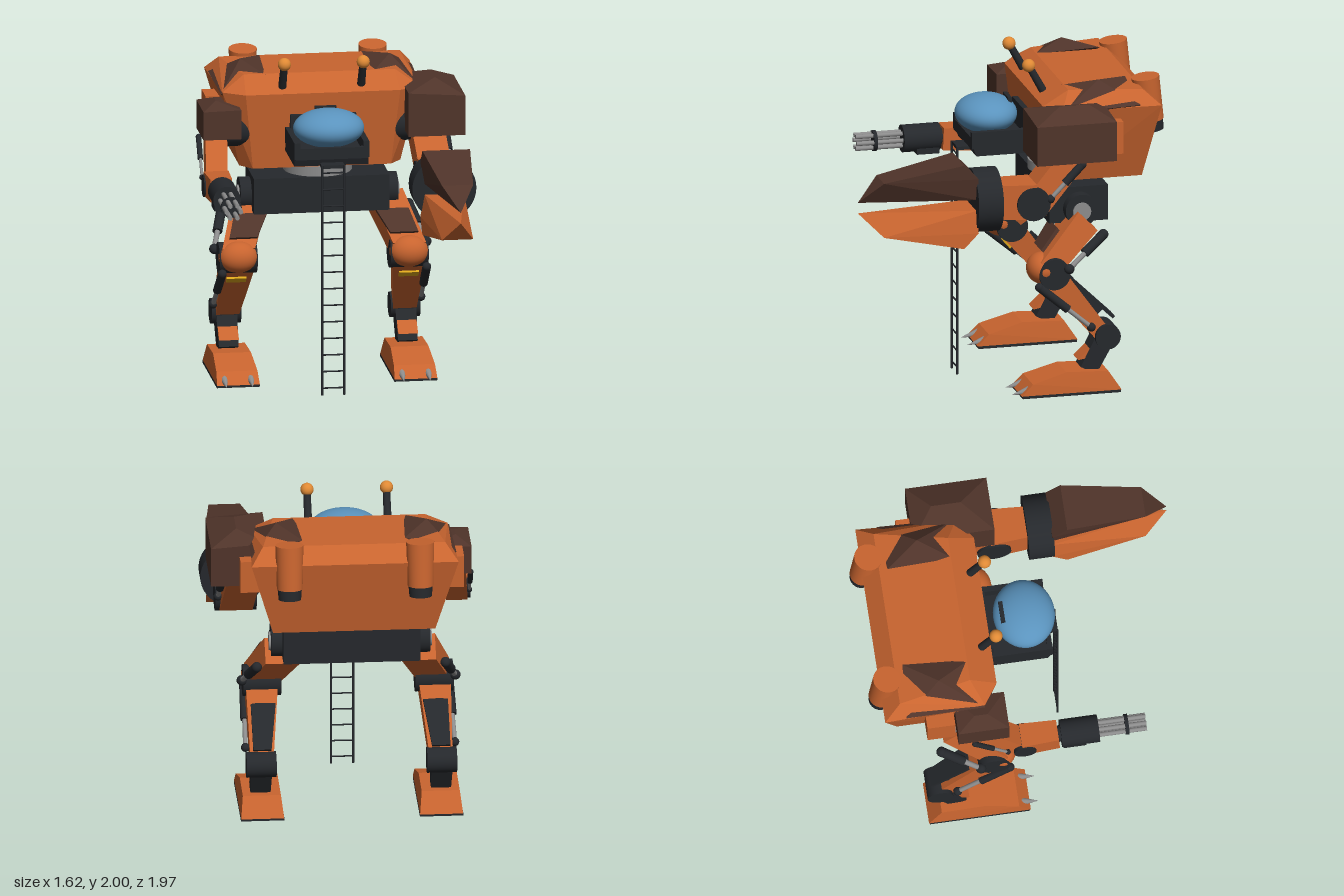
import * as THREE from 'three';
import { ConvexGeometry } from 'three/addons/geometries/ConvexGeometry.js';

const mat = (color) => new THREE.MeshStandardMaterial({ color });
const ORANGE = mat(0xc8642f), BROWN = mat(0x50342a), DARK = mat(0x25282c), STEEL = mat(0x8c8c8c);
const BLUE = mat(0x5a93bd), YELLOW = mat(0xd9a41a), LAMP = mat(0xe08a35);
const CX = -0.057; // centre line of the body
const V = (x, y, z) => new THREE.Vector3(x, y, z);

function add(parent, name, geo, material, x = 0, y = 0, z = 0) {
  const m = new THREE.Mesh(geo, material);
  m.name = name;
  m.position.set(x, y, z);
  parent.add(m);
  return m;
}

const box = (p, name, m, w, h, d, x, y, z) => add(p, name, new THREE.BoxGeometry(w, h, d), m, x, y, z);

// Convex solid around a few corner points
const solid = (p, name, m, pts) => add(p, name, new ConvexGeometry(pts.map((q) => V(...q))), m);

// Round bar from a to b
function rod(p, name, m, a, b, ra, rb = ra, seg = 20) {
  const A = V(...a), B = V(...b), dir = B.clone().sub(A);
  const r = add(p, name, new THREE.CylinderGeometry(rb, ra, dir.length(), seg), m);
  r.position.copy(A).add(B).multiplyScalar(0.5);
  r.quaternion.setFromUnitVectors(V(0, 1, 0), dir.normalize());
  return r;
}

// Tapered box from a to b: w is the width in x, d the thickness across
function beam(p, name, m, a, b, wa, da, wb = wa, db = da) {
  const dy = b[1] - a[1], dz = b[2] - a[2], l = Math.hypot(dy, dz), pts = [];
  for (const [c, w, d] of [[a, wa, da], [b, wb, db]])
    for (const i of [-0.5, 0.5]) for (const j of [-0.5, 0.5])
      pts.push([c[0] + i * w, c[1] - (j * d * dz) / l, c[2] + (j * d * dy) / l]);
  return solid(p, name, m, pts);
}

// Telescopic piston: dark sleeve, steel rod and end joints
function piston(p, name, a, b, r) {
  const mid = a.map((v, i) => v + (b[i] - v) * 0.55);
  rod(p, name + 'Sleeve', DARK, a, mid, r, r, 14);
  rod(p, name + 'Rod', STEEL, mid, b, r * 0.55, r * 0.55, 12);
  for (const e of [a, b]) add(p, name + 'Joint', new THREE.SphereGeometry(r * 1.05, 14, 10), DARK, ...e);
}

function createBody() {
  const g = new THREE.Group();
  g.name = 'body';
  g.position.x = CX;
  const hull = [];
  for (const s of [-1, 1]) {
    hull.push([s * 0.49, 1.3, -0.83], [s * 0.49, 1.3, -0.36], [s * 0.42, 1.3, -0.27]);
    hull.push([s * 0.625, 1.77, -0.92], [s * 0.6, 1.77, -0.31], [s * 0.47, 1.77, -0.22]);
    hull.push([s * 0.55, 1.86, -0.82], [s * 0.46, 1.86, -0.38]);
    // faceted shoulder caps
    solid(g, 'shoulderCap', BROWN, [
      [s * 0.61, 1.76, -0.31], [s * 0.62, 1.78, -0.79], [s * 0.31, 1.875, -0.77], [s * 0.33, 1.855, -0.37],
      [s * 0.455, 1.91, -0.57], [s * 0.57, 1.72, -0.37], [s * 0.57, 1.72, -0.75],
      [s * 0.36, 1.83, -0.72], [s * 0.36, 1.82, -0.42]]);
    // rear exhausts
    const x = s * 0.395;
    rod(g, 'exhaust', ORANGE, [x, 1.89, -0.875], [x, 1.62, -0.91], 0.085, 0.078, 28);
    rod(g, 'exhaustNozzle', DARK, [x, 1.63, -0.909], [x, 1.555, -0.92], 0.074, 0.068, 28);
    // beacons
    rod(g, 'beaconMast', DARK, [s * 0.24, 1.78, -0.29], [s * 0.24, 1.95, -0.197], 0.025, 0.022, 14);
    add(g, 'beaconLamp', new THREE.SphereGeometry(0.04, 20, 14), LAMP, s * 0.24, 1.963, -0.19);
    // shoulder mounts
    box(g, 'shoulderMount', ORANGE, 0.14, 0.2, 0.17, s * 0.605, 1.6, -0.585);
    rod(g, 'shoulderJoint', DARK, [s * 0.44, 1.54, -0.36], [s * 0.6, 1.54, -0.36], 0.115, 0.115, 28);
  }
  solid(g, 'hull', ORANGE, hull);

  // cockpit cradle and canopy
  solid(g, 'cradleFloor', DARK, [-1, 1].flatMap((s) => [
    [s * 0.225, 1.41, 0.13], [s * 0.225, 1.49, 0.16], [s * 0.225, 1.41, -0.28], [s * 0.225, 1.49, -0.3]]));
  for (const s of [-1, 1]) box(g, 'cradleWall', DARK, 0.035, 0.1, 0.46, s * 0.21, 1.51, -0.07);
  box(g, 'cradleLip', DARK, 0.44, 0.07, 0.03, 0, 1.49, 0.145);
  box(g, 'cradleBack', DARK, 0.4, 0.2, 0.08, 0, 1.54, -0.24);
  add(g, 'canopy', new THREE.SphereGeometry(1, 40, 28), BLUE, 0, 1.615, 0.015).scale.set(0.215, 0.115, 0.187);
  box(g, 'canopyHandle', DARK, 0.13, 0.03, 0.025, 0, 1.7, -0.12);

  // turntable and pelvis
  add(g, 'turntable', new THREE.CylinderGeometry(0.208, 0.208, 0.06, 40), STEEL, 0, 1.27, -0.457);
  add(g, 'turntableBase', new THREE.CylinderGeometry(0.17, 0.17, 0.04, 40), DARK, 0, 1.235, -0.457);
  box(g, 'pelvis', DARK, 0.825, 0.22, 0.365, 0, 1.122, -0.457);

  // ladder
  for (const s of [-1, 1]) rod(g, 'ladderRail', DARK, [s * 0.067, 0, 0.21], [s * 0.067, 1.43, 0.21], 0.007, 0.007, 8);
  for (let i = 0; i < 14; i++)
    rod(g, 'ladderRung', DARK, [-0.067, 0.045 + i * 0.103, 0.21], [0.067, 0.045 + i * 0.103, 0.21], 0.005, 0.005, 8);
  box(g, 'ladderHook', DARK, 0.14, 0.02, 0.08, 0, 1.42, 0.17);
  return g;
}

function createLeg(s) {
  const g = new THREE.Group();
  g.name = s > 0 ? 'leftLeg' : 'rightLeg';
  g.position.x = CX;
  const X = (v) => s * v;
  // hip
  rod(g, 'hipHub', DARK, [X(0.38), 1.1, -0.46], [X(0.48), 1.1, -0.46], 0.1, 0.1, 28);
  rod(g, 'hipCap', STEEL, [X(0.47), 1.095, -0.46], [X(0.492), 1.095, -0.46], 0.056, 0.056, 24);
  // thigh and knee
  beam(g, 'thigh', ORANGE, [X(0.41), 1.04, -0.49], [X(0.52), 0.78, -0.22], 0.21, 0.17, 0.2, 0.14);
  beam(g, 'thighPlate', BROWN, [X(0.43), 1.01, -0.3], [X(0.49), 0.89, -0.19], 0.2, 0.025, 0.17, 0.02);
  add(g, 'kneeCap', new THREE.SphereGeometry(1, 32, 20), ORANGE, X(0.52), 0.772, -0.2).scale.set(0.12, 0.096, 0.093);
  rod(g, 'kneeJoint', DARK, [X(0.405), 0.755, -0.255], [X(0.635), 0.755, -0.255], 0.096, 0.096, 28);
  piston(g, 'thighPiston', [X(0.57), 0.97, -0.57], [X(0.645), 0.79, -0.34], 0.03);
  // shin
  beam(g, 'shin', ORANGE, [X(0.52), 0.75, -0.24], [X(0.54), 0.35, -0.56], 0.2, 0.15, 0.14, 0.1);
  beam(g, 'shinStripe', YELLOW, [X(0.525), 0.636, -0.236], [X(0.525), 0.606, -0.262], 0.12, 0.02);
  beam(g, 'calfPlate', DARK, [X(0.52), 0.66, -0.41], [X(0.54), 0.45, -0.63], 0.15, 0.02, 0.11, 0.02);
  beam(g, 'calfSupport', DARK, [X(0.525), 0.63, -0.37], [X(0.535), 0.47, -0.53], 0.09, 0.1);
  piston(g, 'shinPiston', [X(0.622), 0.68, -0.16], [X(0.632), 0.41, -0.48], 0.026);
  // ankle
  rod(g, 'ankleJoint', DARK, [X(0.455), 0.34, -0.585], [X(0.635), 0.34, -0.585], 0.078, 0.078, 28);
  beam(g, 'ankleStrut', DARK, [X(0.545), 0.34, -0.58], [X(0.545), 0.13, -0.47], 0.13, 0.12, 0.12, 0.11);
  solid(g, 'ankleGuard', ORANGE, [-0.06, 0.06].flatMap((o) => [
    [X(0.545) + o, 0.2, -0.405], [X(0.545) + o, 0.28, -0.49], [X(0.545) + o, 0.22, -0.53]]));
  // foot
  const foot = [], fx = X(0.54);
  for (const o of [-1, 1]) {
    foot.push([fx + o * 0.13, 0.015, -0.04], [fx + o * 0.125, 0.085, -0.11], [fx + o * 0.115, 0.145, -0.32]);
    foot.push([fx + o * 0.115, 0.135, -0.58], [fx + o * 0.13, 0.015, -0.66]);
    rod(g, 'toeClaw', STEEL, [fx + o * 0.08, 0.045, -0.12], [fx + o * 0.08, 0.016, 0.01], 0.032, 0.001, 12);
  }
  solid(g, 'foot', ORANGE, foot);
  box(g, 'sole', DARK, 0.262, 0.016, 0.61, fx, 0.008, -0.35);
  return g;
}

// Shared arm linkage: upper arm, elbow and forearm; k scales the thickness
function armLinkage(g, x, side, k) {
  const sx = x - side * 0.03;
  beam(g, 'upperArm', ORANGE, [sx, 1.52, -0.35], [x, 1.23, -0.1], 0.2 * k, 0.17 * k);
  rod(g, 'elbow', DARK, [x - 0.125 * k, 1.255, -0.085], [x + 0.125 * k, 1.255, -0.085], 0.103 * k, 0.103 * k, 28);
  beam(g, 'forearm', ORANGE, [x, 1.265, -0.1], [x, 1.275, 0.125], 0.23 * k, 0.22 * k, 0.2 * k, 0.21 * k);
  piston(g, 'armPiston', [x + side * 0.1 * k, 1.48, -0.39], [x + side * 0.11 * k, 1.28, -0.19], 0.025 * k);
}

function createClawArm() {
  const g = new THREE.Group();
  g.name = 'leftClawArm';
  solid(g, 'shoulderPad', BROWN, [
    ...[[0.445, 1.78], [0.79, 1.755], [0.445, 1.51], [0.79, 1.51]].flatMap(([x, y]) => [[x, y, -0.09], [x, y, -0.585]]),
    [0.63, 1.83, -0.27], [0.63, 1.83, -0.45]]);
  const x = 0.61, y = 1.277;
  armLinkage(g, x, 1, 1);
  rod(g, 'wristRing', DARK, [x, y, 0.12], [x, y, 0.275], 0.195, 0.195, 40);
  // jaws, mirrored above and below the wrist axis
  for (const s of [1, -1]) {
    const pts = [[x, y + s * 0.033, 0.98]];
    for (const o of [-1, 1])
      for (const [w, h, z] of [[0.145, 0.262, 0.355], [0.145, 0.17, 0.265], [0.12, 0.033, 0.265], [0.095, 0.17, 0.84]])
        pts.push([x + o * w, y + s * h, z]);
    solid(g, s > 0 ? 'upperJaw' : 'lowerJaw', s > 0 ? BROWN : ORANGE, pts);
  }
  return g;
}

function createGunArm() {
  const g = new THREE.Group();
  g.name = 'rightGunArm';
  solid(g, 'shoulderPad', BROWN, [
    ...[[-0.56, 1.69], [-0.79, 1.685], [-0.56, 1.51], [-0.79, 1.51]].flatMap(([x, y]) => [[x, y, -0.18], [x, y, -0.49]]),
    [-0.7, 1.725, -0.3], [-0.7, 1.725, -0.38]]);
  const x = -0.725, y = 1.28;
  armLinkage(g, x, -1, 0.66);
  rod(g, 'gunNeck', DARK, [x, y, 0.1], [x, y, 0.16], 0.05);
  rod(g, 'gunHousing', DARK, [x, y, 0.14], [x, y, 0.37], 0.084, 0.084, 32);
  // rotary barrels
  for (let i = 0; i < 6; i++) {
    const a = (i * Math.PI) / 3, bx = x + 0.043 * Math.cos(a), by = y + 0.043 * Math.sin(a);
    rod(g, 'barrel', STEEL, [bx, by, 0.36], [bx, by, 0.66], 0.014, 0.014, 12);
  }
  rod(g, 'barrelClamp', DARK, [x, y, 0.53], [x, y, 0.552], 0.063, 0.063, 28);
  box(g, 'ammoBox', DARK, 0.13, 0.07, 0.14, x, 1.225, 0.22);
  return g;
}

export function createModel() {
  const model = new THREE.Group();
  model.name = 'walkingMachine';
  model.add(createBody(), createLeg(1), createLeg(-1), createClawArm(), createGunArm());
  return model;
}
